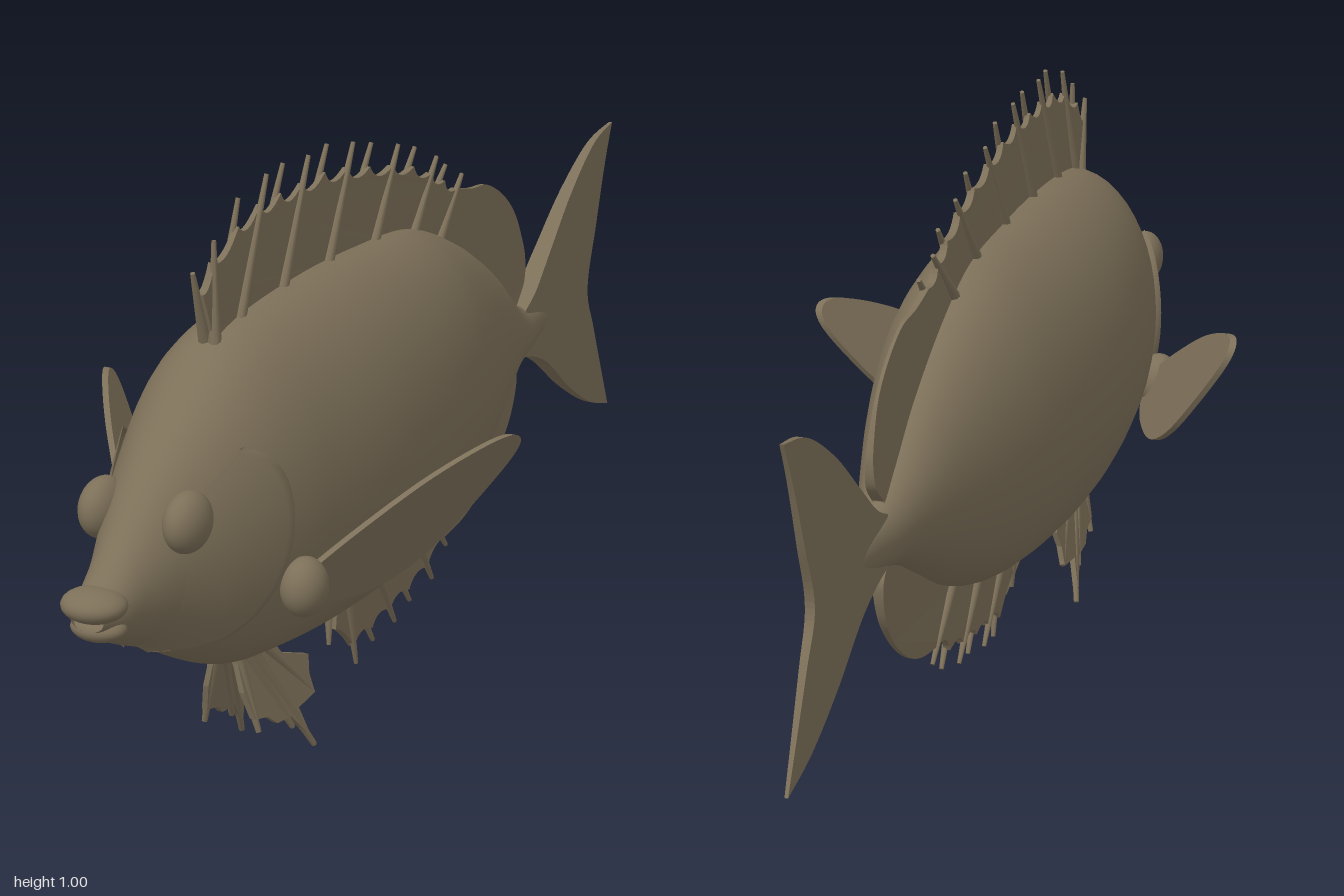
import * as THREE from 'three';

const skin = new THREE.MeshStandardMaterial({ color: 0x7d7059, side: THREE.DoubleSide });
skin.name = 'olive brown skin';

// Body sections from nose to tail: z, belly y, back y, half width
const SECTIONS = [
  [0.975, 0.415, 0.455, 0.03], [0.93, 0.385, 0.487, 0.045], [0.88, 0.36, 0.53, 0.056],
  [0.8, 0.325, 0.608, 0.085], [0.7, 0.27, 0.69, 0.123], [0.6, 0.225, 0.765, 0.152],
  [0.5, 0.205, 0.793, 0.172], [0.3, 0.187, 0.805, 0.19], [0.1, 0.185, 0.8, 0.184],
  [-0.1, 0.207, 0.78, 0.16], [-0.25, 0.257, 0.722, 0.127], [-0.4, 0.335, 0.632, 0.085],
  [-0.5, 0.385, 0.55, 0.055], [-0.57, 0.402, 0.507, 0.037], [-0.65, 0.42, 0.49, 0.022],
  [-0.75, 0.45, 0.46, 0.006],
];

// Smooth value of column k at z (Hermite through the table rows)
function at(rows, z, k) {
  const n = rows.length;
  let i = 0;
  while (i < n - 2 && z < rows[i + 1][0]) i++;
  const slope = (j) => {
    const a = rows[Math.max(j - 1, 0)], b = rows[Math.min(j + 1, n - 1)];
    return (b[k] - a[k]) / (b[0] - a[0]);
  };
  const d = rows[i + 1][0] - rows[i][0];
  const t = THREE.MathUtils.clamp((z - rows[i][0]) / d, 0, 1), u = 1 - t;
  return u * u * (1 + 2 * t) * rows[i][k] + t * t * (3 - 2 * t) * rows[i + 1][k]
    + d * t * u * (u * slope(i) - t * slope(i + 1));
}
const belly = (z) => at(SECTIONS, z, 1);
const back = (z) => at(SECTIONS, z, 2);

// Point on the body skin, pushed out by grow
function skinPoint(z, angle, grow = 0) {
  const b = belly(z), t = back(z), w = at(SECTIONS, z, 3);
  return [(w + grow) * Math.cos(angle), (b + t) / 2 + ((t - b) / 2 + grow) * Math.sin(angle), z];
}

// Smooth surface through a grid of points
function gridGeometry(rows, cols, point, wrap) {
  const pos = [], index = [], stride = wrap ? cols : cols + 1;
  for (let i = 0; i <= rows; i++)
    for (let j = 0; j < stride; j++) pos.push(...point(i / rows, j / cols));
  for (let i = 0; i < rows; i++) {
    for (let j = 0; j < cols; j++) {
      const k = (j + 1) % stride;
      const a = i * stride + j, b = i * stride + k, c = a + stride, d = b + stride;
      index.push(a, c, b, b, c, d);
    }
  }
  const g = new THREE.BufferGeometry();
  g.setAttribute('position', new THREE.Float32BufferAttribute(pos, 3));
  g.setIndex(index);
  g.computeVertexNormals();
  return g;
}

function add(parent, name, geometry) {
  const m = new THREE.Mesh(geometry, skin);
  m.name = name;
  parent.add(m);
  return m;
}

function ellipsoid(parent, name, p, r) {
  const m = add(parent, name, new THREE.SphereGeometry(1, 28, 20));
  m.position.set(...p);
  m.scale.set(...r);
  return m;
}

// Thin plate drawn in (z, y); halfX(z, y) sets thickness, midX(z, y) bends it sideways
function plate(shape, halfX, midX = () => 0) {
  const g = new THREE.ExtrudeGeometry(shape, { depth: 2, bevelEnabled: false, curveSegments: 8 });
  g.translate(0, 0, -1).rotateY(-Math.PI / 2);
  const p = g.attributes.position;
  for (let i = 0; i < p.count; i++) {
    const y = p.getY(i), z = p.getZ(i);
    p.setX(i, p.getX(i) * halfX(z, y) + midX(z, y));
  }
  g.computeVertexNormals();
  return g;
}
const v2 = (list) => list.map(([z, y]) => new THREE.Vector2(z, y));

// Tapered ray between two points
function ray(parent, name, a, b, r0, r1) {
  const from = new THREE.Vector3(...a), to = new THREE.Vector3(...b);
  const m = add(parent, name, new THREE.CylinderGeometry(r1, r0, from.distanceTo(to), 8));
  m.position.copy(from).lerp(to, 0.5);
  m.quaternion.setFromUnitVectors(new THREE.Vector3(0, 1, 0), to.sub(from).normalize());
}

// Midline fin: staggered spines, scalloped web, soft rear lobe
function spinedFin(parent, name, tips, edge, inward, rear, lean) {
  const fin = new THREE.Group();
  fin.name = name;
  parent.add(fin);
  const bases = tips.map(([z], i) => {
    const bz = z + lean(i);
    return [bz, edge(bz) + inward];
  });
  const along = (i, f) => [0, 1].map((k) => bases[i][k] + (tips[i][k] - bases[i][k]) * f);
  const shape = new THREE.Shape();
  shape.moveTo(...bases[0]);
  shape.lineTo(...along(0, 0.72));
  for (let i = 1; i < tips.length; i++) {
    const a = along(i - 1, 0.6), b = along(i, 0.64);
    shape.quadraticCurveTo((a[0] + b[0]) / 2, (a[1] + b[1]) / 2, ...along(i, 0.8));
  }
  shape.splineThru(v2(rear));
  const end = rear[rear.length - 1][0];
  for (let i = 0; i < 16; i++) {
    const z = THREE.MathUtils.lerp(end, bases[0][0], i / 16);
    shape.lineTo(z, edge(z) + inward * 1.5);
  }
  add(fin, name + 'Web', plate(shape, (z, y) => Math.max(0.003, 0.011 - 0.045 * Math.abs(y - edge(z)))));
  tips.forEach(([z, y], i) => {
    const s = i % 2 ? 1 : -1;
    ray(fin, name + 'Spine', [s * 0.009, ...bases[i].slice().reverse()], [s * 0.004, y, z], 0.012, 0.004);
  });
}

export function createModel() {
  const fish = new THREE.Group();
  fish.name = 'fish';

  // Body and closed muzzle
  add(fish, 'body', gridGeometry(80, 48, (u, v) => skinPoint(0.975 - 1.725 * u, v * Math.PI * 2), true));
  ellipsoid(fish, 'upperLip', [0, 0.453, 0.952], [0.054, 0.027, 0.048]);
  ellipsoid(fish, 'lowerLip', [0, 0.412, 0.94], [0.047, 0.022, 0.036]);

  // Forked tail
  const tail = new THREE.Shape();
  tail.moveTo(-0.57, 0.5);
  tail.splineThru(v2([[-0.62, 0.525], [-0.69, 0.585], [-0.79, 0.67], [-0.9, 0.737], [-0.995, 0.757]]));
  tail.splineThru(v2([[-0.96, 0.68], [-0.92, 0.57], [-0.882, 0.455], [-0.92, 0.36], [-1, 0.185]]));
  tail.splineThru(v2([[-0.9, 0.22], [-0.79, 0.285], [-0.69, 0.36], [-0.62, 0.395], [-0.57, 0.41]]));
  add(fish, 'tailFin', plate(tail, (z) => THREE.MathUtils.mapLinear(z, -0.57, -1, 0.022, 0.003)));

  // Back fin
  spinedFin(fish, 'dorsalFin', [
    [0.625, 0.895], [0.57, 0.935], [0.475, 0.98], [0.394, 1], [0.324, 1], [0.25, 0.996], [0.17, 0.995],
    [0.09, 0.98], [0.008, 0.958], [-0.078, 0.935], [-0.158, 0.91], [-0.228, 0.877], [-0.28, 0.848], [-0.33, 0.82],
  ], back, -0.02, [
    [-0.37, 0.783], [-0.43, 0.775], [-0.48, 0.753], [-0.525, 0.722], [-0.56, 0.685], [-0.583, 0.64],
    [-0.597, 0.595], [-0.59, 0.55], [-0.555, 0.515],
  ], (i) => Math.min(0.11, -0.05 + 0.06 * i));

  // Belly fin behind
  spinedFin(fish, 'analFin', [
    [0.17, 0.1], [0.083, 0.035], [0.003, 0.048], [-0.067, 0.06], [-0.142, 0.072], [-0.217, 0.09], [-0.29, 0.128],
  ], belly, 0.02, [
    [-0.34, 0.162], [-0.4, 0.182], [-0.46, 0.218], [-0.51, 0.262], [-0.545, 0.31], [-0.56, 0.37], [-0.54, 0.405],
  ], (i) => Math.min(0.1, -0.01 + 0.06 * i));

  // Outlines of the paired parts
  const gillEdge = [[40, 0.67], [20, 0.613], [0, 0.6], [-20, 0.625], [-42, 0.69], [-60, 0.77], [-75, 0.83]];
  const pectoral = new THREE.Shape();
  pectoral.moveTo(0.57, 0.4);
  pectoral.splineThru(v2([[0.5, 0.46], [0.4, 0.53], [0.3, 0.572], [0.25, 0.57], [0.24, 0.53], [0.28, 0.44],
    [0.33, 0.365], [0.4, 0.325], [0.5, 0.325], [0.57, 0.355]]));
  const pelvic = new THREE.Shape(v2([[0.55, 0.225], [0.55, 0.16], [0.535, 0.11], [0.495, 0.1], [0.47, 0.08],
    [0.425, 0.075], [0.375, 0.02], [0.395, 0.08], [0.335, 0.085], [0.34, 0.12], [0.33, 0.15], [0.41, 0.18], [0.44, 0.22]]));
  const pelvicX = (z, y) => 0.02 + (0.22 - y) * 0.23;

  for (const s of [1, -1]) {
    const side = new THREE.Group();
    side.name = s > 0 ? 'leftSide' : 'rightSide';
    side.scale.x = s;
    fish.add(side);

    ellipsoid(side, 'eye', [0.076, 0.548, 0.792], [0.035, 0.05, 0.054]);

    // Raised gill cover with a turned-in rear lip
    add(side, 'gillCover', gridGeometry(20, 24, (u, v) => {
      const deg = -75 + 115 * v;
      const t = Math.min(u / 0.95, 1);
      const z = THREE.MathUtils.lerp(0.87, at(gillEdge, deg, 1), t);
      return skinPoint(z, THREE.MathUtils.degToRad(deg), u === 1 ? -0.004 : -0.003 + 0.013 * t);
    }, false));

    // Side fin sweeping up and back from a fleshy base
    ellipsoid(side, 'pectoralBase', [0.165, 0.38, 0.575], [0.038, 0.05, 0.046]);
    add(side, 'pectoralFin', plate(pectoral, () => 0.006,
      (z, y) => 0.18 + 0.44 * (0.55 - z) + 0.485 * (y - 0.42)));

    // Small fin under the chest
    add(side, 'pelvicFin', plate(pelvic, () => 0.005, pelvicX));
    for (const [z0, z1, y1] of [[0.54, 0.525, 0.085], [0.52, 0.42, 0.055], [0.5, 0.365, 0.004], [0.47, 0.335, 0.085]])
      ray(side, 'pelvicRay', [0.02, 0.22, z0], [pelvicX(z1, y1), y1, z1], 0.012, 0.005);
  }
  return fish;
}
